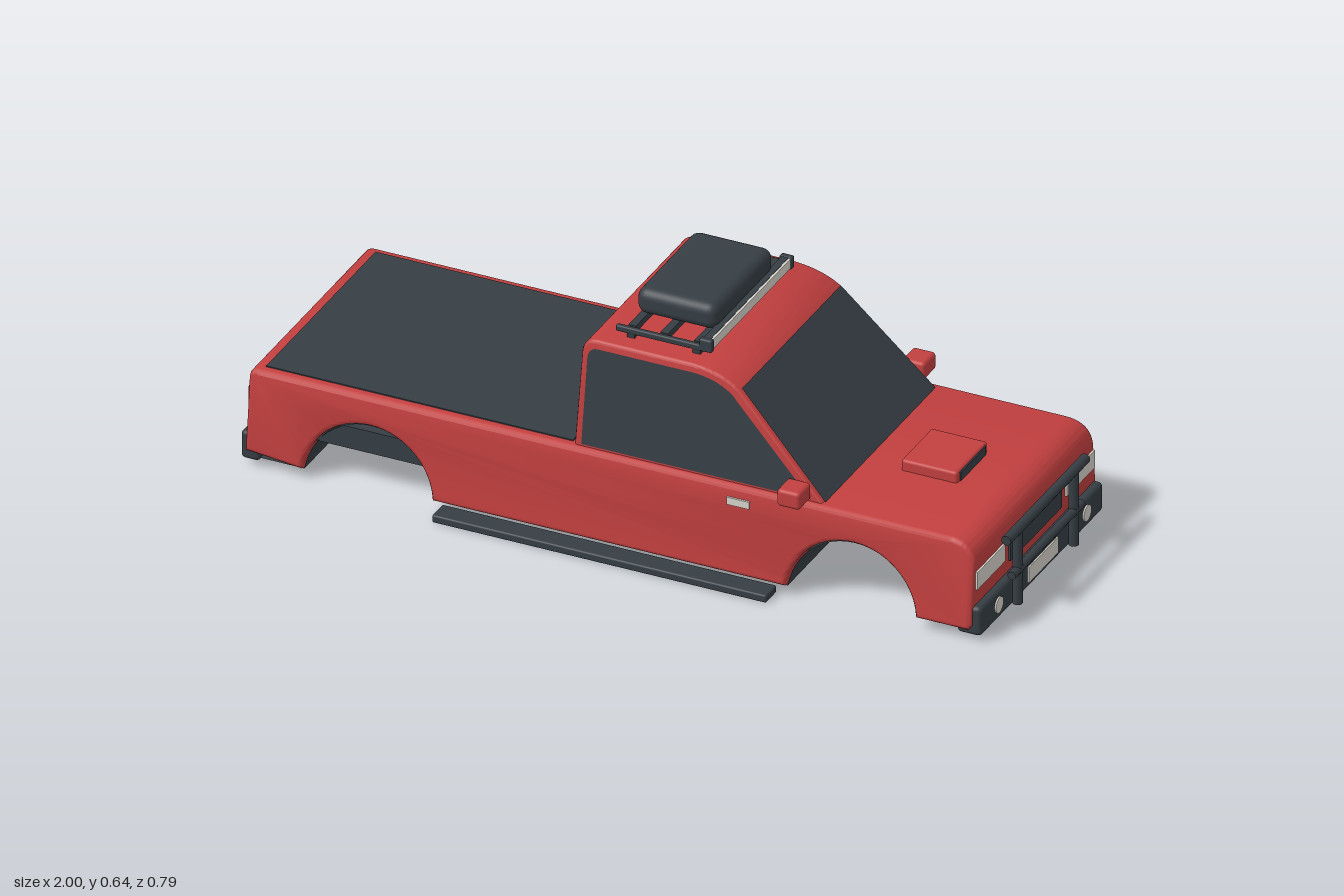
import * as THREE from 'three';
import { toCreasedNormals } from 'three/addons/utils/BufferGeometryUtils.js';
import { RoundedBoxGeometry } from 'three/addons/geometries/RoundedBoxGeometry.js';

const paint = (name, color, side = THREE.FrontSide) => {
  const m = new THREE.MeshStandardMaterial({ color, side });
  m.name = name;
  return m;
};

export function createModel() {
  const red = paint('red paint', 0xc23f3f);
  const dark = paint('charcoal', 0x363e44, THREE.DoubleSide);
  const cream = paint('cream lamp', 0xd8d4cb);
  const tailRed = paint('tail lamp red', 0xa83232);

  const truck = new THREE.Group();
  truck.name = 'pickupTruck';
  const add = (name, geometry, material) => {
    const mesh = new THREE.Mesh(geometry, material);
    mesh.name = name;
    truck.add(mesh);
    return mesh;
  };
  // Box given by its lower and upper limits on each axis
  const box = (name, material, [x0, x1], [y0, y1], [z0, z1], radius = 0) => {
    const size = [x1 - x0, y1 - y0, z1 - z0];
    const g = radius ? new RoundedBoxGeometry(...size, 3, radius) : new THREE.BoxGeometry(...size);
    add(name, g, material).position.set((x0 + x1) / 2, (y0 + y1) / 2, (z0 + z1) / 2);
  };
  const tube = (name, from, to, radius) => {
    const a = new THREE.Vector3(...from), b = new THREE.Vector3(...to);
    const dir = b.clone().sub(a);
    const mesh = add(name, new THREE.CylinderGeometry(radius, radius, dir.length(), 14), dark);
    mesh.position.copy(a).add(b).multiplyScalar(0.5);
    mesh.quaternion.setFromUnitVectors(new THREE.Vector3(0, 1, 0), dir.normalize());
  };

  // Half widths shrink with height
  const bodyHalf = (y) => 0.355 - 0.11 * y;
  const cabHalf = (y) => 0.313 - 0.13 * (y - 0.26);

  // Side profile extruded across the truck, then tapered
  const taperedExtrude = (shape, half, bevel) => {
    const depth = 2 - 2 * bevel / 0.33;
    const g = new THREE.ExtrudeGeometry(shape, {
      depth, curveSegments: 20, bevelEnabled: true, bevelSegments: 3,
      bevelSize: bevel, bevelOffset: -bevel, bevelThickness: bevel / 0.33,
    });
    g.translate(0, 0, -depth / 2);
    const p = g.attributes.position;
    for (let i = 0; i < p.count; i++) p.setZ(i, p.getZ(i) * half(p.getY(i)));
    return toCreasedNormals(g, 0.6);
  };
  // Sheet spanning the width along a path of [x, y, halfWidth]
  const ribbon = (path) => {
    const pos = [], index = [];
    path.forEach(([x, y, w], i) => {
      pos.push(x, y, w, x, y, -w);
      if (i) {
        const k = 2 * i - 2;
        index.push(k, k + 1, k + 2, k + 1, k + 3, k + 2);
      }
    });
    const g = new THREE.BufferGeometry();
    g.setAttribute('position', new THREE.Float32BufferAttribute(pos, 3));
    g.setIndex(index);
    g.computeVertexNormals();
    return toCreasedNormals(g, 0.6);
  };

  // Lower body with wheel arches
  const arches = [-0.655, 0.632], archR = 0.175, archY = 0.01;
  const lift = Math.asin(0.02 / archR);
  const body = new THREE.Shape();
  body.moveTo(-0.97, 0.03);
  for (const x of arches) body.absarc(x, archY, archR, Math.PI - lift, lift, true);
  body.lineTo(0.945, 0.03);
  body.lineTo(0.955, 0.045);
  body.lineTo(0.955, 0.195);
  body.quadraticCurveTo(0.953, 0.262, 0.88, 0.262);
  body.lineTo(-0.955, 0.262);
  body.quadraticCurveTo(-0.98, 0.262, -0.98, 0.235);
  body.lineTo(-0.98, 0.045);
  add('body', taperedExtrude(body, bodyHalf, 0.012), red);

  // Dark underside and wheel wells
  const under = [[-0.965, 0.027, 0.335]];
  for (const x of arches) {
    for (let i = 0; i <= 24; i++) {
      const a = Math.PI - lift - (i / 24) * (Math.PI - 2 * lift);
      const y = archY + (archR - 0.003) * Math.sin(a) - 0.001;
      under.push([x + (archR - 0.003) * Math.cos(a), y, bodyHalf(y) - 0.014]);
    }
  }
  under.push([0.94, 0.027, 0.335]);
  add('underside', ribbon(under), dark);
  box('bedFloor', dark, [-0.81, -0.49], [0.1, 0.16], [-0.315, 0.315]);

  // Bed cover
  box('bedCover', dark, [-0.945, -0.128], [0.258, 0.265], [-0.302, 0.302]);

  // Cabin
  const cab = new THREE.Shape();
  cab.moveTo(-0.12, 0.24);
  cab.lineTo(-0.115, 0.5);
  cab.quadraticCurveTo(-0.114, 0.54, -0.075, 0.54);
  cab.lineTo(0.17, 0.54);
  cab.quadraticCurveTo(0.255, 0.538, 0.305, 0.5);
  cab.lineTo(0.562, 0.24);
  add('cabin', taperedExtrude(cab, cabHalf, 0.008), red);

  // Glass
  add('windshield', ribbon([[0.545, 0.263, 0.304], [0.308, 0.503, 0.273]]), dark);
  add('rearWindow', ribbon([[-0.118, 0.508, 0.268], [-0.1225, 0.268, 0.3]]), dark);
  const pane = new THREE.Shape();
  pane.moveTo(-0.1, 0.268);
  pane.lineTo(-0.098, 0.49);
  pane.quadraticCurveTo(-0.097, 0.52, -0.07, 0.52);
  pane.lineTo(0.18, 0.52);
  pane.quadraticCurveTo(0.245, 0.518, 0.288, 0.487);
  pane.lineTo(0.51, 0.268);
  for (const side of [1, -1]) {
    const g = new THREE.ShapeGeometry(pane);
    const p = g.attributes.position;
    for (let i = 0; i < p.count; i++) p.setZ(i, side * (cabHalf(p.getY(i)) + 0.003));
    g.computeVertexNormals();
    add('sideWindow', g, dark);
  }

  // Hood scoop
  box('hoodScoop', red, [0.64, 0.79], [0.25, 0.291], [-0.085, 0.085], 0.008);
  box('scoopOpening', dark, [0.787, 0.793], [0.262, 0.286], [-0.07, 0.07]);

  // Bumpers, grille and number plates
  box('frontBumper', dark, [0.91, 0.976], [0.014, 0.093], [-0.34, 0.34], 0.012);
  box('rearBumper', dark, [-0.996, -0.945], [0.016, 0.093], [-0.34, 0.34], 0.012);
  box('grille', dark, [0.952, 0.96], [0.12, 0.178], [-0.142, 0.142]);
  box('frontPlate', cream, [0.974, 0.98], [0.032, 0.075], [-0.081, 0.081]);
  box('rearPlate', cream, [-1, -0.992], [0.115, 0.158], [-0.081, 0.081]);
  box('rearPlateMount', dark, [-0.993, -0.975], [0.12, 0.153], [-0.07, 0.07]);

  // Paired parts on both sides
  for (const s of [1, -1]) {
    const span = (a, b) => (s > 0 ? [a, b] : [-b, -a]);
    box('headlight', cream, [0.952, 0.96], [0.135, 0.183], span(0.17, 0.325));
    box('tailLight', tailRed, [-0.986, -0.978], [0.155, 0.205], span(0.2, 0.315));
    const fog = add('fogLight', new THREE.CylinderGeometry(0.021, 0.021, 0.008, 20), cream);
    fog.rotation.z = -Math.PI / 2;
    fog.position.set(0.976, 0.056, s * 0.243);
    box('sideStep', dark, [-0.46, 0.43], [0, 0.021], span(0.335, 0.394), 0.005);
    box('mirror', red, [0.45, 0.512], [0.268, 0.315], span(0.312, 0.38), 0.01);
    box('mirrorArm', red, [0.465, 0.495], [0.275, 0.295], span(0.28, 0.32));
    box('doorHandle', cream, [0.296, 0.356], [0.211, 0.231], span(0.326, 0.335));
    tube('bullBarPost', [0.985, 0.018, s * 0.155], [0.985, 0.225, s * 0.155], 0.013);
    // Roof rack rails and feet
    box('rackRail', dark, [-0.05, 0.205], [0.55, 0.566], span(0.216, 0.23), 0.004);
    for (const x of [-0.01, 0.165]) box('rackFoot', dark, [x - 0.01, x + 0.01], [0.535, 0.555], span(0.214, 0.228));
    box('lightBarBracket', dark, [0.172, 0.206], [0.55, 0.584], span(0.213, 0.23), 0.005);
  }
  tube('bullBarTop', [0.985, 0.222, -0.219], [0.985, 0.222, 0.219], 0.013);
  tube('bullBarLower', [0.987, 0.112, -0.193], [0.987, 0.112, 0.193], 0.011);

  // Rack cross bars, light bar and roof box
  for (const x of [-0.01, 0.075, 0.165]) {
    box('rackCrossBar', dark, [x - 0.01, x + 0.01], [0.553, 0.57], [-0.22, 0.22]);
  }
  box('lightBar', dark, [0.178, 0.197], [0.552, 0.582], [-0.214, 0.214]);
  box('lightBarLens', cream, [0.196, 0.203], [0.555, 0.581], [-0.213, 0.213]);
  box('roofBox', dark, [-0.03, 0.185], [0.567, 0.637], [-0.164, 0.164], 0.026);

  return truck;
}
